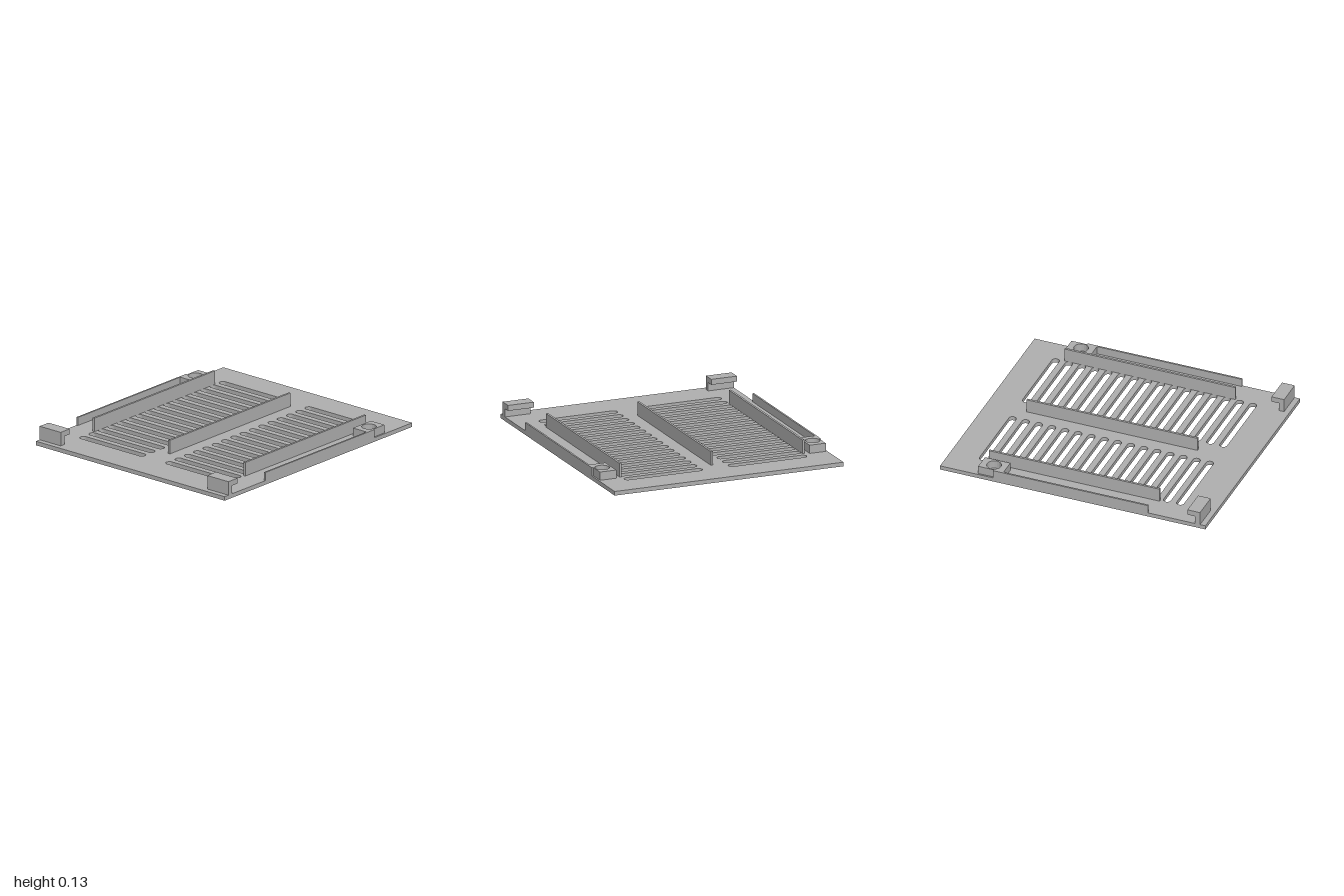
import * as THREE from 'three';

const PLATE_TOP = 0.03;

// Box given by its minimum and maximum corners
function block(name, material, [x0, y0, z0], [x1, y1, z1]) {
  const mesh = new THREE.Mesh(new THREE.BoxGeometry(x1 - x0, y1 - y0, z1 - z0), material);
  mesh.position.set((x0 + x1) / 2, (y0 + y1) / 2, (z0 + z1) / 2);
  mesh.name = name;
  return mesh;
}

// Rectangle in plan, with v running along -z
function rectangle(x0, v0, x1, v1) {
  return new THREE.Shape([
    new THREE.Vector2(x0, v0), new THREE.Vector2(x1, v0),
    new THREE.Vector2(x1, v1), new THREE.Vector2(x0, v1),
  ]);
}

// Plan shape extruded upwards from height y
function slab(name, material, shape, y, height) {
  const geometry = new THREE.ExtrudeGeometry(shape, { depth: height, bevelEnabled: false, curveSegments: 10 });
  geometry.rotateX(-Math.PI / 2);
  const mesh = new THREE.Mesh(geometry, material);
  mesh.position.y = y;
  mesh.name = name;
  return mesh;
}

// Round-ended slot
function slot(x, v0, v1, r) {
  const path = new THREE.Path();
  path.moveTo(x + r, v0 + r);
  path.lineTo(x + r, v1 - r);
  path.absarc(x, v1 - r, r, 0, Math.PI, false);
  path.lineTo(x - r, v0 + r);
  path.absarc(x, v0 + r, r, Math.PI, Math.PI * 2, false);
  return path;
}

export function createModel() {
  const model = new THREE.Group();
  model.name = 'ventCover';
  const grey = new THREE.MeshStandardMaterial({ color: 0xb0b0b0 });
  grey.name = 'grey plastic';

  // Base plate with two rows of ventilation slots
  const plate = rectangle(-1, -0.87, 1, 0.87);
  for (let i = 0; i < 16; i++) {
    const x = -0.728 + i * 0.0991;
    plate.holes.push(slot(x, 0.1, 0.692, 0.027), slot(x, -0.692, -0.1, 0.027));
  }
  model.add(slab('slottedPlate', grey, plate, 0, PLATE_TOP));

  // Long stiffening ribs
  for (const z of [-0.695, 0, 0.695]) {
    model.add(block('rib', grey, [-0.587, PLATE_TOP, z - 0.008], [0.7, 0.13, z + 0.008]));
  }

  // Fittings mirrored along the front and back edges
  for (const side of [-1, 1]) {
    const edge = new THREE.Group();
    edge.name = side > 0 ? 'frontEdge' : 'backEdge';
    const span = (a, b) => (side > 0 ? [a, b] : [-b, -a]);

    // Low edge wall
    const [w0, w1] = span(0.857, 0.87);
    edge.add(block('edgeWall', grey, [-0.567, PLATE_TOP, w0], [0.6, 0.09, w1]));

    // Screw boss with a round hole
    const [b0, b1] = span(0.735, 0.858);
    const boss = rectangle(0.525, -b1, 0.717, -b0);
    const hole = new THREE.Path();
    hole.absarc(0.621, -side * 0.8, 0.052, 0, Math.PI * 2, true);
    boss.holes.push(hole);
    edge.add(slab('screwBoss', grey, boss, PLATE_TOP, 0.06));

    // Hook-shaped clip, profile extruded along z
    const profile = new THREE.Shape([
      [-0.96, PLATE_TOP], [-0.921, PLATE_TOP], [-0.921, 0.09],
      [-0.865, 0.09], [-0.865, 0.13], [-0.96, 0.13],
    ].map(([x, y]) => new THREE.Vector2(x, y)));
    const clip = new THREE.Mesh(
      new THREE.ExtrudeGeometry(profile, { depth: 0.195, bevelEnabled: false }), grey);
    clip.position.z = span(0.675, 0.87)[0];
    clip.name = 'hookClip';
    edge.add(clip);

    model.add(edge);
  }

  return model;
}
